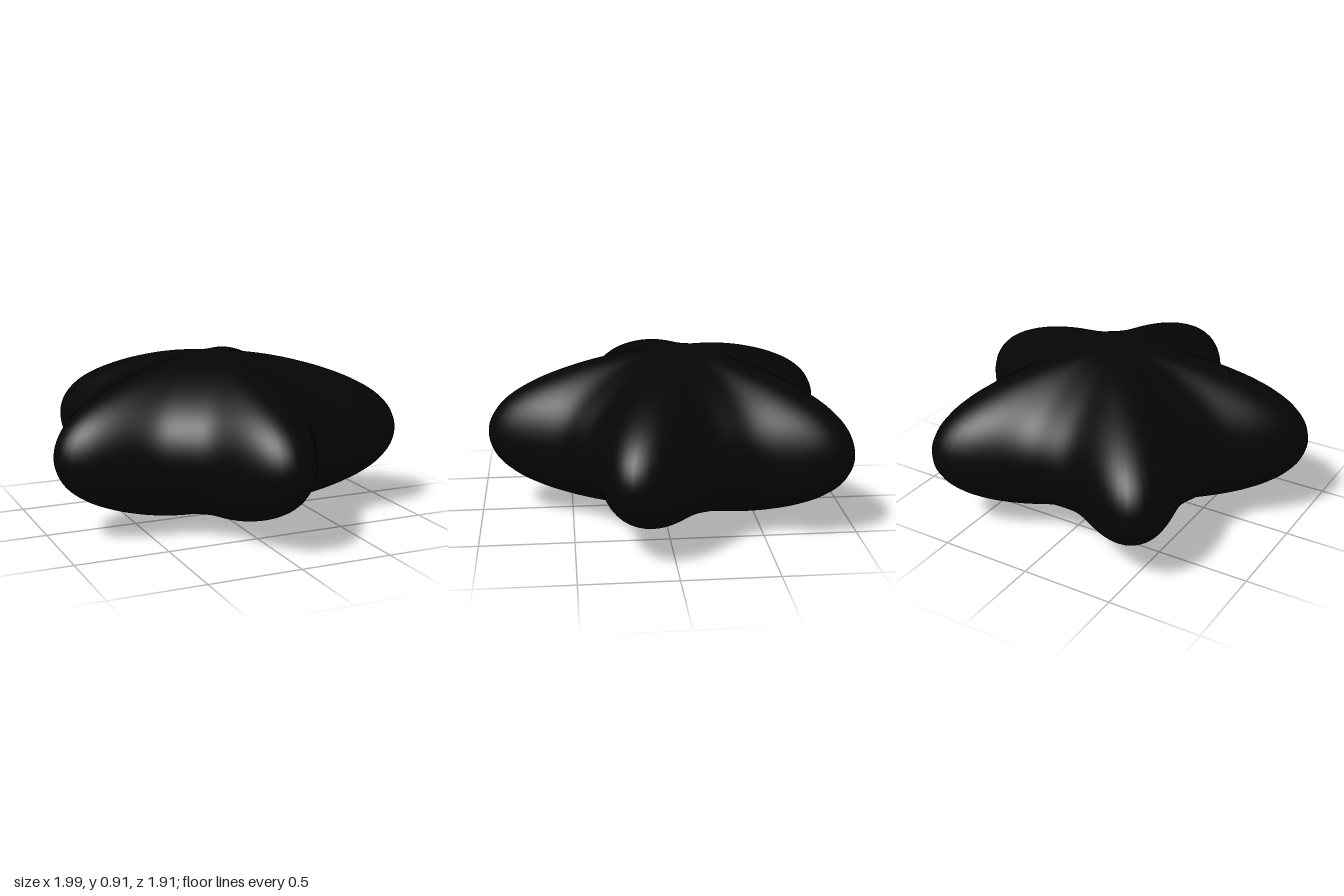
import * as THREE from 'three';
import { mergeVertices } from 'three/addons/utils/BufferGeometryUtils.js';

// Outline radius of the five-armed star, angle measured from the front (+z)
const starRadius = (a) => 0.835 + 0.17 * Math.cos(5 * a) + 0.035 * Math.cos(10 * a);

export function createModel() {
  const group = new THREE.Group();
  group.name = 'puffyStar';

  // Sphere stretched sideways to the star outline and flattened in height
  let geometry = new THREE.SphereGeometry(1, 160, 80);
  geometry.deleteAttribute('uv');
  geometry.deleteAttribute('normal');
  geometry = mergeVertices(geometry, 1e-5);

  const halfHeight = 0.455;
  const p = geometry.attributes.position;
  for (let i = 0; i < p.count; i++) {
    const x = p.getX(i), y = p.getY(i), z = p.getZ(i);
    const r = starRadius(Math.atan2(x, z));
    const slim = 1 - 0.2 * y * y * (1 - y * y); // slightly slimmer shoulders
    p.setXYZ(i, x * r, halfHeight * (1 + y * slim), z * r - 0.09);
  }
  geometry.computeVertexNormals();

  const body = new THREE.Mesh(geometry, new THREE.MeshStandardMaterial({ color: 0x050505 }));
  body.name = 'starBody';
  group.add(body);
  return group;
}
